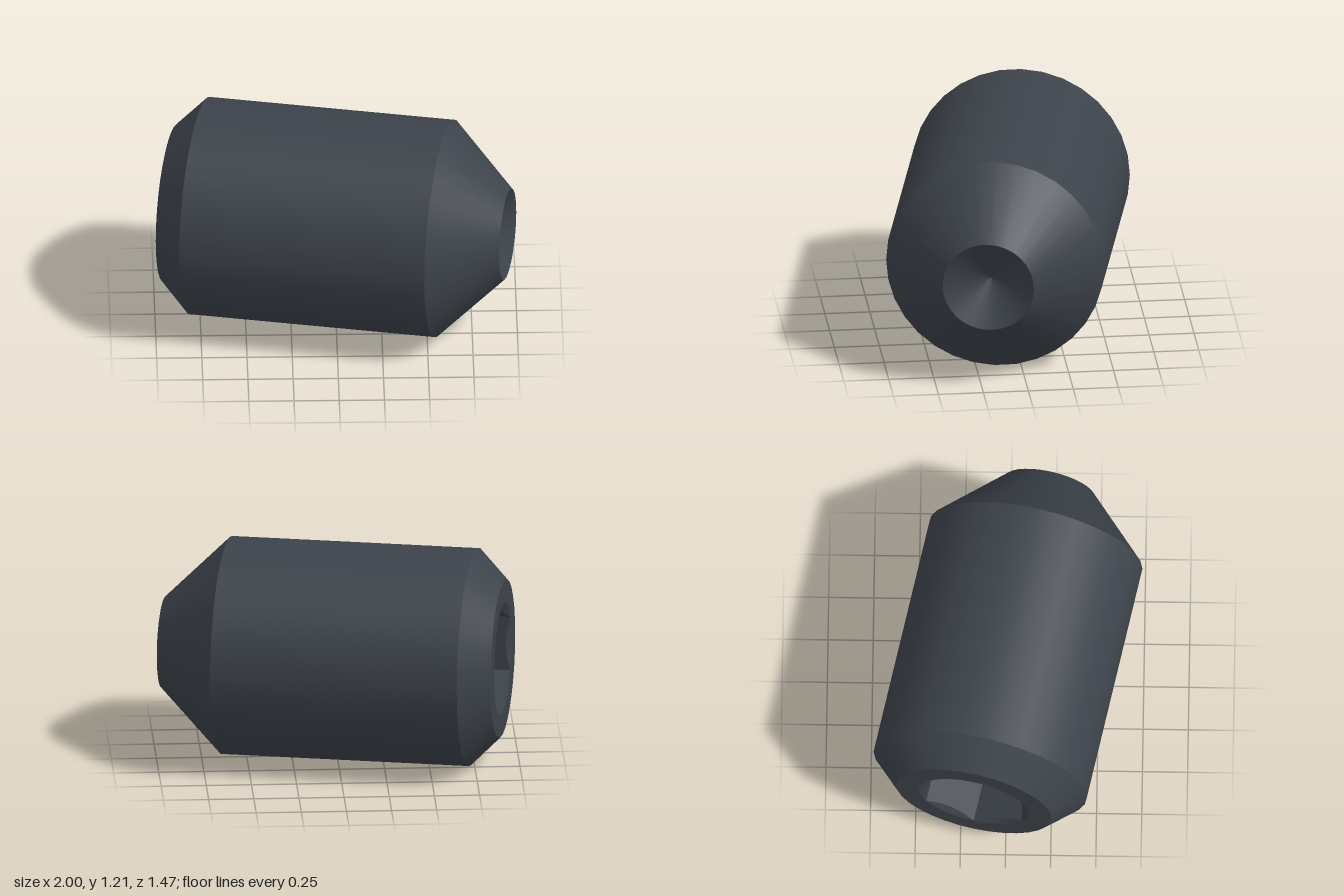
import * as THREE from 'three';

const END = 0.9485;      // half length along the axis
const SIDES = 32;
const MOUTH = 0.31;      // socket mouth radius, also the hex corner radius
const SOCKET_DEPTH = 0.72;

const ring = (r, n) => Array.from({ length: n }, (_, i) => {
  const a = (i / n) * Math.PI * 2;
  return new THREE.Vector2(Math.sin(a) * r, Math.cos(a) * r);
});

// Hex socket: countersunk mouth, six flat walls and a flat floor
function socketGeometry() {
  const steps = 48;
  const apothem = MOUTH * Math.cos(Math.PI / 6);
  const column = (i) => {
    const a = (i / steps) * Math.PI * 2;
    const fromFlat = a - Math.round(a / (Math.PI / 3)) * (Math.PI / 3);
    const r = apothem / Math.cos(fromFlat);
    const at = (radius, y) => [Math.sin(a) * radius, y, Math.cos(a) * radius];
    return [
      at(MOUTH, -END),
      at(r, -END + (MOUTH - r) * 0.577),
      at(r, -END + SOCKET_DEPTH),
      at(0, -END + SOCKET_DEPTH),
    ];
  };
  const pos = [];
  for (let i = 0; i < steps; i++) {
    const p = column(i), q = column(i + 1);
    for (let j = 0; j < 3; j++) {
      pos.push(...p[j], ...p[j + 1], ...q[j]);
      if (j < 2) pos.push(...q[j + 1], ...q[j], ...p[j + 1]);
    }
  }
  const g = new THREE.BufferGeometry();
  g.setAttribute('position', new THREE.Float32BufferAttribute(pos, 3));
  g.computeVertexNormals();
  return g;
}

export function createModel() {
  const steel = new THREE.MeshStandardMaterial({ color: 0x3d434b });
  steel.name = 'dark steel';

  const screw = new THREE.Group();
  screw.name = 'setScrew';
  const add = (name, geometry) => {
    const mesh = new THREE.Mesh(geometry, steel);
    mesh.name = name;
    screw.add(mesh);
  };

  // Turned surfaces, one per band so the edges between them stay sharp
  const bands = [
    ['rearChamfer', 0.44, -END, 0.605, -0.786],
    ['body', 0.605, -0.786, 0.605, 0.595],
    ['pointCone', 0.605, 0.595, 0.254, END],
    ['cupRecess', 0.254, END, 0, END - 0.147],
  ];
  for (const [name, r0, y0, r1, y1] of bands) {
    add(name, new THREE.LatheGeometry([new THREE.Vector2(r0, y0), new THREE.Vector2(r1, y1)], SIDES));
  }

  // Flat rear face around the socket
  const face = new THREE.Shape(ring(0.44, SIDES));
  face.holes.push(new THREE.Path(ring(MOUTH, 48)));
  add('rearFace', new THREE.ShapeGeometry(face).rotateX(Math.PI / 2).translate(0, -END, 0));

  add('hexSocket', socketGeometry());

  // Lay the screw on its side, turned 12 degrees
  screw.rotation.z = -Math.PI / 2;
  const model = new THREE.Group();
  model.name = 'model';
  model.add(screw);
  model.rotation.y = -Math.PI / 15;
  model.position.set(0.019, 0.605, 0.02);

  const root = new THREE.Group();
  root.add(model);
  return root;
}
